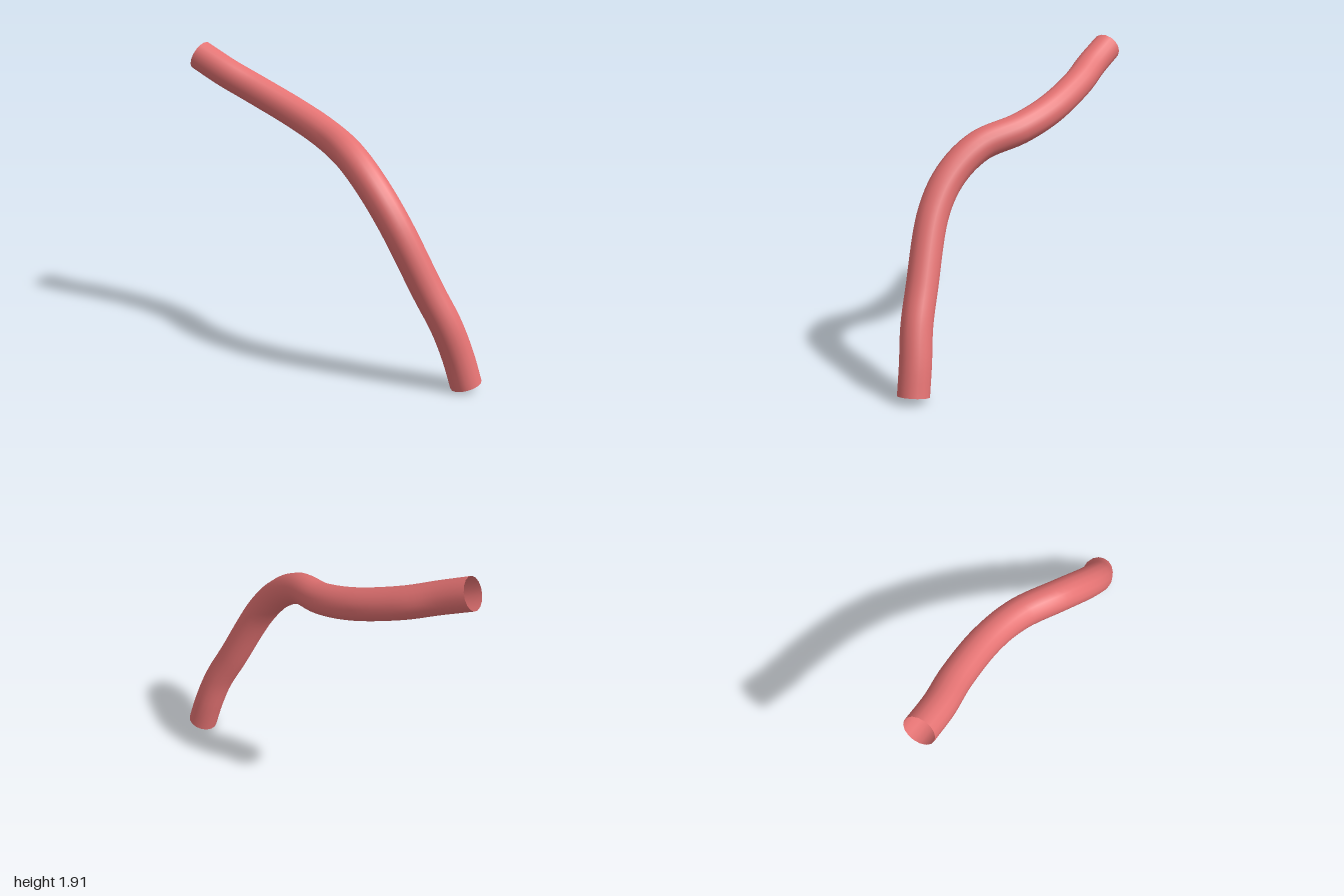
import * as THREE from 'three';

export function createModel() {
  const group = new THREE.Group();

  // Centre line of the bent hose, from the raised end down to the foot
  const path = new THREE.CatmullRomCurve3([
    [-0.96, 1.817, 0.295],
    [-0.78, 1.725, 0.225],
    [-0.6, 1.635, 0.135],
    [-0.3, 1.51, 0.032],
    [-0.05, 1.425, 0.003],
    [0.22, 1.345, 0.038],
    [0.42, 1.2, 0.036],
    [0.57, 1.0, -0.005],
    [0.735, 0.6, -0.13],
    [0.815, 0.4, -0.2],
    [0.864, 0.2, -0.26],
    [0.903, 0.022, -0.296],
  ].map((p) => new THREE.Vector3(...p)));

  // Open-ended tube, visible inside and out
  const hose = new THREE.Mesh(
    new THREE.TubeGeometry(path, 64, 0.096, 16, false),
    new THREE.MeshStandardMaterial({ color: 0xe57373, side: THREE.DoubleSide })
  );
  hose.name = 'hose';
  group.add(hose);

  return group;
}
